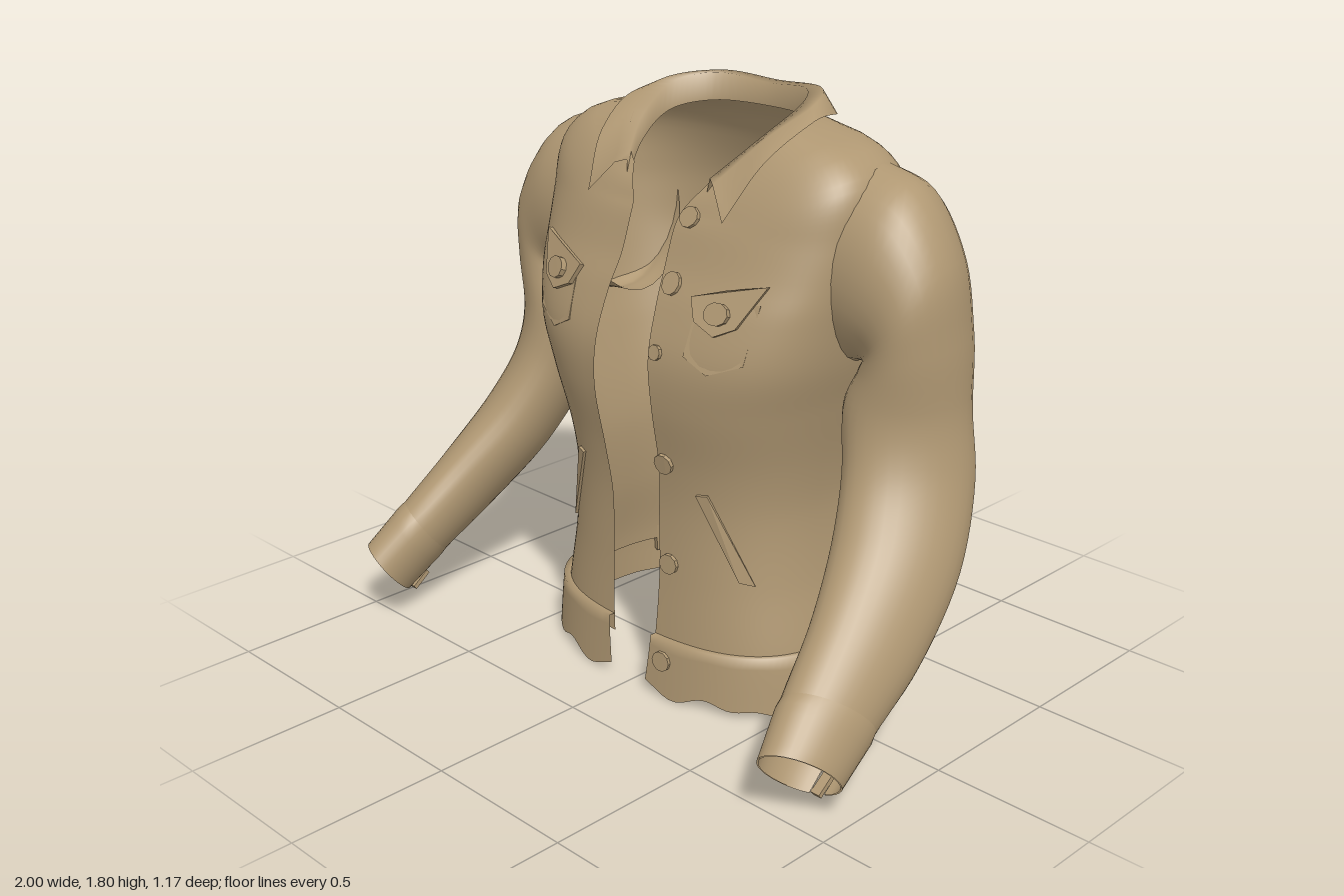
import * as THREE from 'three';

const cloth = new THREE.MeshStandardMaterial({ color: 0xb09873, side: THREE.DoubleSide });
cloth.name = 'tan cloth';

// Torso rings: [side height, front rise, back rise, half width, front z, back z, half opening, front roundness]
const RINGS = [
  [0.00, 0, 0, 0.52, 0.25, -0.535, 0.07, 0.74],
  [0.18, 0, 0, 0.505, 0.24, -0.555, 0.09, 0.74],
  [0.40, 0, 0, 0.465, 0.23, -0.53, 0.10, 0.74],
  [0.60, 0, 0, 0.45, 0.23, -0.505, 0.10, 0.74],
  [0.75, 0, 0, 0.465, 0.245, -0.465, 0.115, 0.73],
  [0.95, 0, 0, 0.51, 0.28, -0.48, 0.12, 0.69],
  [1.10, 0, 0, 0.55, 0.28, -0.495, 0.11, 0.63],
  [1.25, 0, 0, 0.575, 0.235, -0.525, 0.10, 0.60],
  [1.35, 0, 0, 0.59, 0.19, -0.52, 0.09, 0.62],
  [1.45, 0, 0, 0.60, 0.155, -0.505, 0.09, 0.66],
  [1.60, -0.10, -0.02, 0.595, 0.13, -0.46, 0.10, 0.72],
  [1.675, -0.145, -0.035, 0.535, 0.115, -0.43, 0.12, 0.76],
  [1.72, -0.17, -0.03, 0.42, 0.10, -0.40, 0.14, 0.76],
  [1.738, -0.188, -0.003, 0.28, 0.09, -0.36, 0.16, 0.76],
];
const BACK_ROUND = 0.76, ZC = -0.14;
const spow = (v, p) => Math.sign(v) * Math.abs(v) ** p;

// Smooth interpolation between torso rings at height y
function ringAt(y) {
  const n = RINGS.length;
  let i = 0;
  while (i < n - 2 && y > RINGS[i + 1][0]) i++;
  const [r0, r1, r2, r3] = [Math.max(i - 1, 0), i, i + 1, Math.min(i + 2, n - 1)].map((k) => RINGS[k]);
  const h = r2[0] - r1[0], t = (y - r1[0]) / h, t2 = t * t, t3 = t2 * t;
  return r1.map((v, k) => {
    const m1 = ((r2[k] - r0[k]) / (r2[0] - r0[0])) * h, m2 = ((r3[k] - r1[k]) / (r3[0] - r1[0])) * h;
    return (2 * t3 - 3 * t2 + 1) * v + (t3 - 2 * t2 + t) * m1 + (3 * t2 - 2 * t3) * r2[k] + (t3 - t2) * m2;
  });
}

// Torso point at angle a (0 = front, growing towards +x) and height y
function surf(a, y) {
  const [, dF, dB, w, zf, zb, , round] = ringAt(y);
  const c = Math.cos(a), p = c > 0 ? round : BACK_ROUND;
  return new THREE.Vector3(
    w * spow(Math.sin(a), p),
    y + (c > 0 ? dF : dB) * c * c,
    ZC + (c > 0 ? zf - ZC : ZC - zb) * spow(c, p));
}

// Torso point pushed out along its normal
function on(a, y, d) {
  const e = 0.004, p = surf(a, y);
  const da = surf(a + e, y).sub(surf(a - e, y)), dy = surf(a, y + e).sub(surf(a, y - e));
  return p.addScaledVector(da.cross(dy).normalize(), d);
}
function angleAt(x, y) {
  const ring = ringAt(y);
  return Math.sign(x) * Math.asin(Math.min(1, (Math.abs(x) / ring[3]) ** (1 / ring[7])));
}
const openAngle = (y) => angleAt(ringAt(y)[6], y);
const around = (u, y) => openAngle(y) + u * 2 * (Math.PI - openAngle(y));

function mesh(name, geo, parent) {
  const m = new THREE.Mesh(geo, cloth);
  m.name = name;
  parent.add(m);
  return m;
}

// Smooth sheet from a function of u and v in 0..1
function sheet(name, nu, nv, fn, parent) {
  const pos = [], idx = [];
  for (let j = 0; j <= nv; j++) for (let i = 0; i <= nu; i++) pos.push(...fn(i / nu, j / nv).toArray());
  for (let j = 0; j < nv; j++) for (let i = 0; i < nu; i++) {
    const a = j * (nu + 1) + i, b = a + nu + 1;
    idx.push(a, a + 1, b + 1, a, b + 1, b);
  }
  const g = new THREE.BufferGeometry();
  g.setAttribute('position', new THREE.Float32BufferAttribute(pos, 3));
  g.setIndex(idx);
  g.computeVertexNormals();
  return mesh(name, g, parent);
}

// Flat shape wrapped onto the torso; toAngle turns its x into an angle
function plate(name, shape, depth, toAngle, parent) {
  const g = new THREE.ExtrudeGeometry(shape, { depth, bevelEnabled: false, curveSegments: 5 });
  const p = g.attributes.position;
  for (let i = 0; i < p.count; i++) {
    const q = on(toAngle(p.getX(i), p.getY(i)), p.getY(i), p.getZ(i));
    p.setXYZ(i, q.x, q.y, q.z);
  }
  g.computeVertexNormals();
  return mesh(name, g, parent);
}
const poly = (pts) => new THREE.Shape(pts.map(([x, y]) => new THREE.Vector2(x, y)));
const disc = (x, y, rx, ry = rx) => new THREE.Shape().absellipse(x, y, rx, ry, 0, Math.PI * 2);
const curve = (pts) => new THREE.CatmullRomCurve3(pts.map((p) => new THREE.Vector3(...p)));

// Sleeve rings: centre, outward radius and forward radius
const CENTRE = curve([[0.47, 1.375, -0.2], [0.6, 1.345, -0.2], [0.685, 1.26, -0.2], [0.71, 1.15, -0.19], [0.71, 1.0, -0.16],
  [0.755, 0.8, -0.12], [0.81, 0.6, -0.005], [0.86, 0.42, 0.18], [0.885, 0.29, 0.35], [0.91, 0.17, 0.5]]);
const OUT = curve([[0.06, 0.288, 0], [0.095, 0.268, 0], [0.138, 0.165, 0], [0.15, 0.05, -0.01], [0.16, 0, -0.03],
  [0.145, 0.02, -0.05], [0.14, 0.02, -0.06], [0.12, 0.01, -0.06], [0.105, 0, -0.055], [0.088, 0, -0.05]]);
const FORE = curve([[0, 0, 0.22], [0.04, 0, 0.225], [0.05, 0, 0.213], [0.03, 0, 0.2], [0, 0, 0.18],
  [-0.02, 0.045, 0.172], [-0.03, 0.1, 0.135], [-0.025, 0.115, 0.1], [-0.01, 0.1, 0.085], [0, 0.09, 0.075]]);
function sleevePoint(s, u, v, k = 1) {
  const slit = 0.2 * THREE.MathUtils.smoothstep(v, 0.87, 0.91);
  const t = -Math.PI / 2 + slit + u * 2 * (Math.PI - slit);
  const p = CENTRE.getPoint(v).addScaledVector(OUT.getPoint(v), k * Math.cos(t)).addScaledVector(FORE.getPoint(v), k * Math.sin(t));
  p.x *= s;
  return p;
}

// Half collar rows, from the inner base over the fold to the outer edge
const COLLAR = [
  [[0.16, 1.53, 0.1], [0.22, 1.63, -0.02], [0.25, 1.70, -0.17], [0.19, 1.72, -0.29], [0, 1.72, -0.345]],
  [[0.17, 1.60, 0.09], [0.24, 1.71, -0.05], [0.255, 1.785, -0.2], [0.18, 1.805, -0.30], [0, 1.79, -0.345]],
  [[0.20, 1.59, 0.11], [0.285, 1.72, -0.03], [0.305, 1.785, -0.19], [0.20, 1.805, -0.345], [0, 1.795, -0.38]],
  [[0.275, 1.5, 0.15], [0.33, 1.66, 0.04], [0.355, 1.755, -0.14], [0.24, 1.73, -0.37], [0, 1.715, -0.42]],
].map((h) => curve([...h, ...h.slice(0, 4).reverse().map(([x, y, z]) => [-x, y, z])]));

export function createModel() {
  const jacket = new THREE.Group();
  jacket.name = 'jacket';

  // Body shell, open at the front
  sheet('body', 80, 64, (u, v) => {
    const y = 0.14 + v * 1.598;
    return surf(around(u, y), y);
  }, jacket);

  // Hem band, ragged at front and back
  sheet('hemBand', 120, 6, (u, v) => {
    const side = Math.abs(u - 0.5) * 2, c = Math.cos(u * 2 * Math.PI);
    const low = 0.008 + c * c * (0.02 + 0.015 * Math.sin(side * 45) + 0.01 * Math.sin(side * 24 + 1));
    const y = low + Math.min(v * 1.2, 1) * (0.195 - low);
    return on(around(u, y), y, v > 0.9 ? 0 : 0.022);
  }, jacket);

  // Back yoke with a raised lower edge
  sheet('backYoke', 40, 12, (u, v) => {
    const a = 2.0 + u * (2 * Math.PI - 4.0);
    const low = 1.25 + 0.05 * Math.sin(u * Math.PI);
    const t = Math.max(0, v - 0.08) / 0.92;
    return on(a, low + t * (1.6 - low), v === 0 ? 0 : 0.011 * (1 - t));
  }, jacket);

  // Collar
  sheet('collar', 56, 3, (u, v) => COLLAR[Math.round(v * 3)].getPoint(u), jacket);

  for (const s of [1, -1]) {
    const side = new THREE.Group();
    side.name = s > 0 ? 'leftSide' : 'rightSide';
    jacket.add(side);
    const byX = (x, y) => angleAt(s * x, y);
    const byAngle = (a) => s * a;

    // Sleeve and cuff, slit along the underside
    sheet('sleeve', 32, 54, (u, v) => sleevePoint(s, u, v), side);
    sheet('cuff', 32, 6, (u, v) => sleevePoint(s, u, 0.895 + v * 0.105, v === 0 ? 1 : 1.04), side);
    const tab = mesh('cuffTab', new THREE.BoxGeometry(0.03, 0.016, 0.07), side);
    tab.position.set(s * 0.9, 0.09, 0.39);
    tab.rotation.x = 0.65;

    // Chest pocket with flap and button
    plate('chestPocket', poly([[0.25, 1.28], [0.24, 1.13], [0.32, 1.09], [0.42, 1.13], [0.44, 1.3]]), 0.004, byX, side);
    plate('pocketFlap', poly([[0.23, 1.29], [0.26, 1.23], [0.33, 1.20], [0.39, 1.23], [0.45, 1.35], [0.34, 1.325]]), 0.016, byX, side);
    plate('pocketButton', disc(0.33, 1.26, 0.037, 0.03), 0.028, byX, side);

    // Slanted hand pocket welt
    plate('pocketWelt', poly([[0.24, 0.69], [0.275, 0.695], [0.39, 0.415], [0.355, 0.425]]), 0.009, byX, side);

    // Waist tab and button at the back of the hem
    plate('waistTab', poly([[1.92, 0.19], [1.95, 0.09], [2.3, 0.095], [2.66, 0.11], [2.7, 0.15], [2.66, 0.185], [2.3, 0.18]]), 0.032, byAngle, side);
    plate('waistButton', disc(2.6, 0.15, 0.06, 0.03), 0.042, byAngle, side);

    // Curved back seam
    sheet('backSeam', 4, 30, (u, v) => {
      const a = 2.6 - 0.25 * v + 0.05 * Math.sin(v * 7) + (u - 0.5) * 0.05;
      return on(s * a, 0.2 + v * 1.07, 0.005 * Math.sin(u * Math.PI));
    }, side);
  }

  // Front buttons on the left panel
  for (const [y, r, ry] of [[1.555, 0.034, 0.085], [1.31, 0.032], [1.12, 0.022], [0.77, 0.032], [0.44, 0.032], [0.125, 0.032]]) {
    plate('frontButton', disc(0.14, y, r, ry), y < 0.2 ? 0.032 : 0.012, angleAt, jacket);
  }
  return jacket;
}
